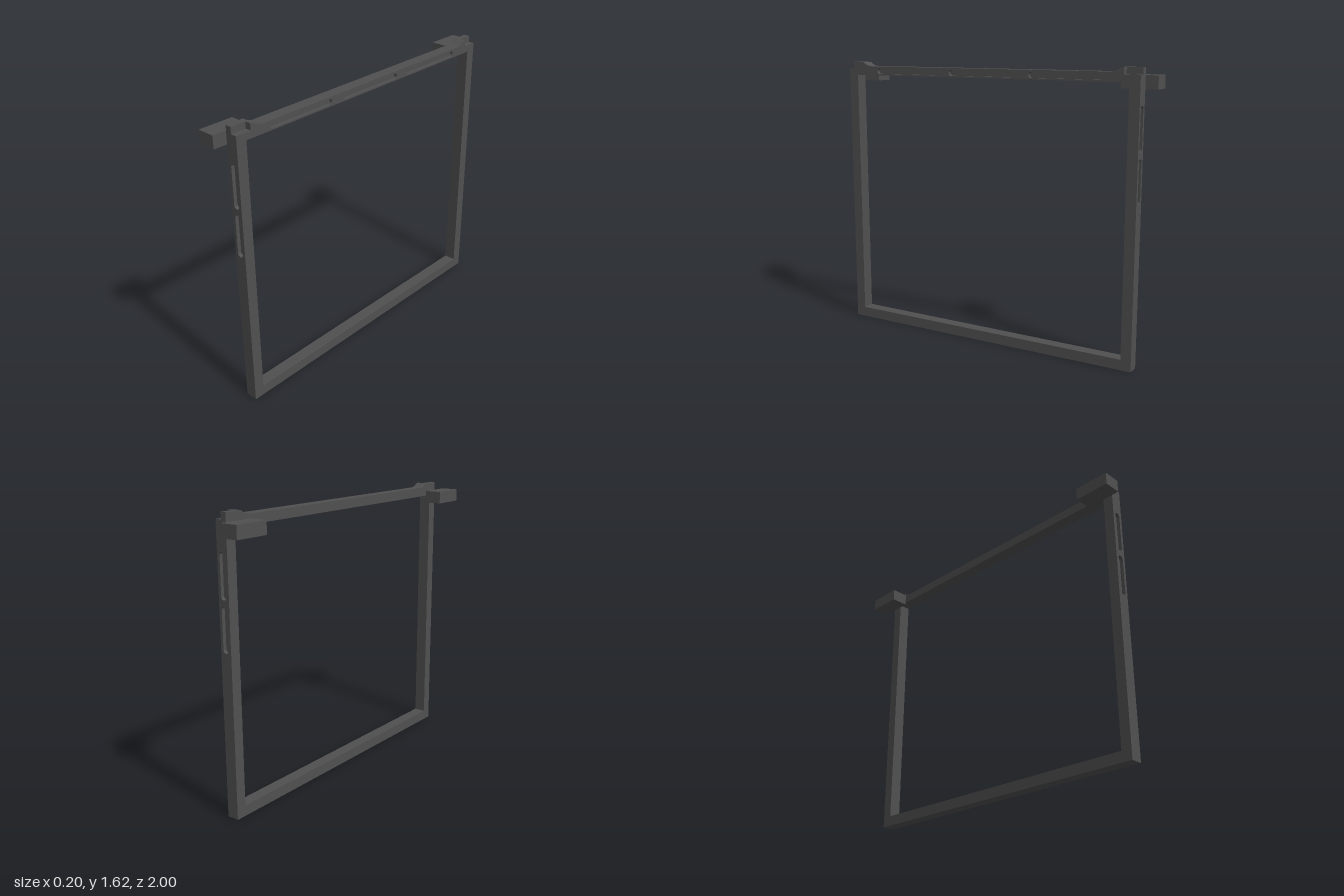
import * as THREE from 'three';

const material = new THREE.MeshStandardMaterial({ color: 0x505050, flatShading: true });
const X0 = 0.03, X1 = 0.1, XMID = 0.065; // frame thickness and middle of the corner rebate
const HALF = 0.94, BAR = 0.06;           // half depth of the frame, post width
const RAIL_Y = 1.545, RECESS = 0.02;     // underside of top rail, slot depth

function mesh(name, geometry, parent) {
  const m = new THREE.Mesh(geometry, material);
  m.name = name;
  parent.add(m);
  return m;
}

function box(name, parent, x0, x1, y0, y1, z0, z1) {
  const m = mesh(name, new THREE.BoxGeometry(x1 - x0, y1 - y0, z1 - z0), parent);
  m.position.set((x0 + x1) / 2, (y0 + y1) / 2, (z0 + z1) / 2);
  return m;
}

// Slot with round ends, long side along y or along x
function slot(cx, cy, length, width, upright) {
  const p = new THREE.Path(), r = width / 2, h = length / 2 - r;
  if (upright) {
    p.absarc(cx, cy + h, r, 0, Math.PI);
    p.absarc(cx, cy - h, r, Math.PI, 2 * Math.PI);
  } else {
    p.absarc(cx + h, cy, r, -Math.PI / 2, Math.PI / 2);
    p.absarc(cx - h, cy, r, Math.PI / 2, 1.5 * Math.PI);
  }
  p.closePath();
  return p;
}

function extrude(shape, depth) {
  return new THREE.ExtrudeGeometry(shape, { depth, bevelEnabled: false, curveSegments: 10 });
}

// Side profile of the top rail (z across, y up)
function railShape(rebated) {
  const right = rebated
    ? [[HALF, 1.585], [0.85, 1.585], [0.85, 1.622]]
    : [[HALF, 1.622]];
  right.push([0.835, 1.622], [0.82, 1.612], [0.8, 1.602], [0.78, 1.598]);
  const left = right.map(([z, y]) => [-z, y]).reverse();
  const points = [[-HALF, RAIL_Y], [HALF, RAIL_Y], ...right, ...left];
  return new THREE.Shape(points.map(([z, y]) => new THREE.Vector2(z, y)));
}

function railLayer(name, parent, shape, x0, x1) {
  const m = mesh(name, extrude(shape, x1 - x0).rotateY(Math.PI / 2), parent);
  m.position.x = x0;
}

export function createModel() {
  const model = new THREE.Group();
  model.name = 'hangingFrame';

  box('bottomRail', model, X0, X1, 0, BAR, -HALF, HALF);

  // Top rail: full inner layer, rebated outer layer, slotted face
  const rail = new THREE.Group();
  rail.name = 'topRail';
  model.add(rail);
  railLayer('railInner', rail, railShape(false), X0, XMID);
  railLayer('railOuter', rail, railShape(true), XMID, X1 - RECESS);
  const face = railShape(true);
  for (const z of [-0.515, 0, 0.515]) face.holes.push(slot(z, 1.57, 0.43, 0.032, false));
  railLayer('railSlottedFace', rail, face, X1 - RECESS, X1);

  for (const side of [1, -1]) {
    const end = side > 0 ? 'front' : 'back';

    // Post with two slots sunk into its outer face
    const post = new THREE.Group();
    post.name = end + 'Post';
    model.add(post);
    const za = side * (HALF - BAR), zb = side * (HALF - RECESS);
    box(end + 'PostCore', post, X0, X1, BAR, RAIL_Y, Math.min(za, zb), Math.max(za, zb));
    const skin = new THREE.Shape([[X0, BAR], [X1, BAR], [X1, RAIL_Y], [X0, RAIL_Y]]
      .map(([x, y]) => new THREE.Vector2(x, y)));
    for (const y of [1.033, 1.307]) skin.holes.push(slot(XMID, y, 0.242, 0.036, true));
    const outer = mesh(end + 'PostSlottedFace', extrude(skin, RECESS), post);
    outer.position.z = side > 0 ? HALF - RECESS : -HALF;

    // Separate mounting block beside the corner
    const b = [side * 0.795, side * 1].sort((p, q) => p - q);
    box(end + 'MountBlock', model, -0.1, 0.003, 1.508, 1.58, b[0], b[1]);
  }
  return model;
}
